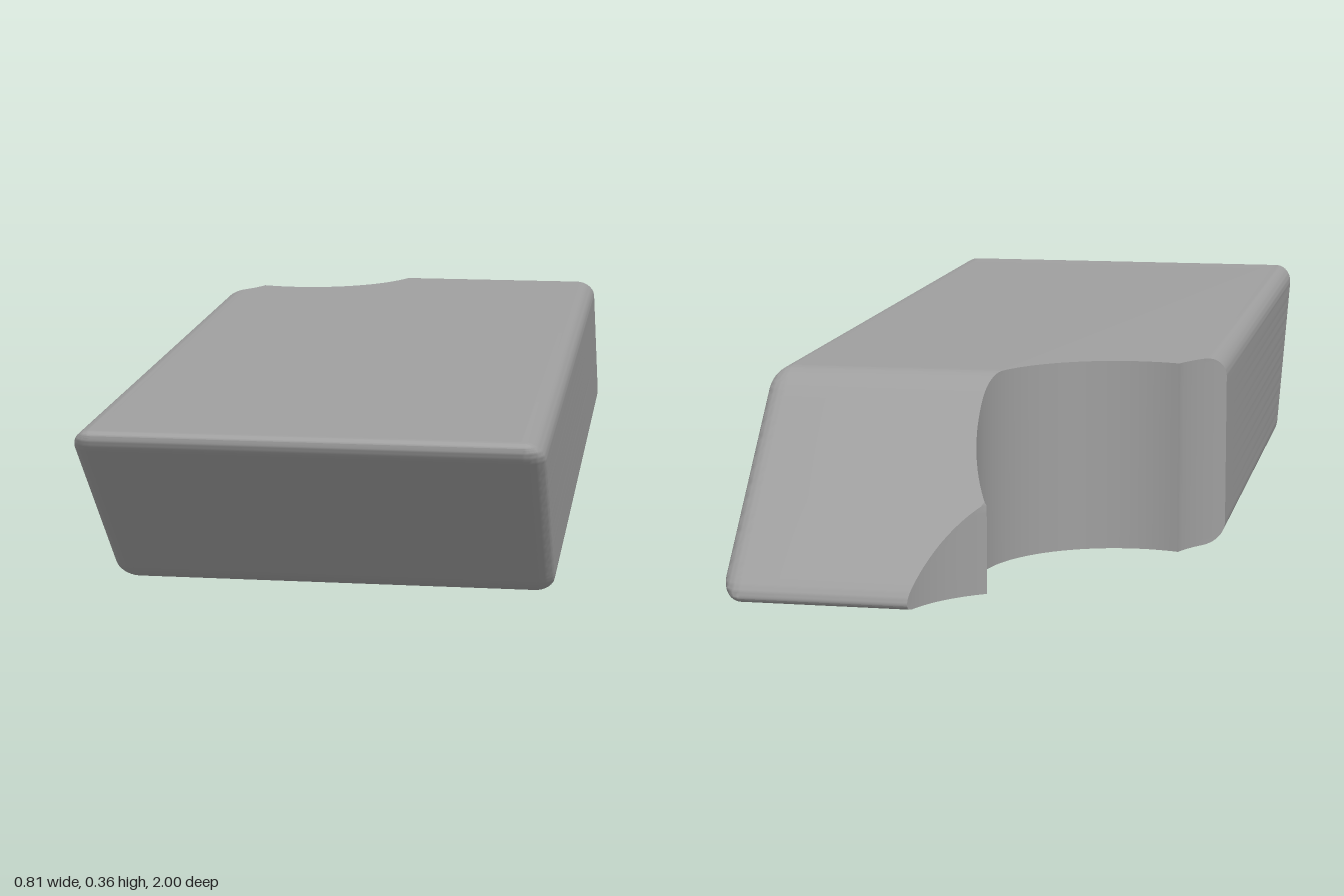
import * as THREE from 'three';
import { toCreasedNormals } from 'three/addons/utils/BufferGeometryUtils.js';

const HALF_W = 0.403, HEIGHT = 0.356, HALF_L = 0.8445, R = 0.038;
const DEG = Math.PI / 180;
const RIM = 0.004; // narrow flat strip beside each rounding, keeps the flats evenly shaded

// Points [x, z] along an arc in plan
function arc(cx, cz, r, from, to, n) {
  return Array.from({ length: n + 1 }, (_, i) => {
    const a = (from + (to - from) * i / n) * DEG;
    return [cx + r * Math.cos(a), cz + r * Math.sin(a)];
  });
}

// Quarter-round corner with a short straight piece at both ends
function corner(cx, cz, r, from) {
  const pts = arc(cx, cz, r, from, from - 90, 10);
  const s = Math.sin(from * DEG) * RIM, c = Math.cos(from * DEG) * RIM;
  const a = pts[0], b = pts[pts.length - 1];
  return [[a[0] - s, a[1] + c], ...pts, [b[0] - c, b[1] - s]];
}

// Scalloped notch outline: small arc, main arc, small arc
const notch = [
  ...arc(-0.557, -0.589, 0.25, 62, 23.6, 14),
  ...arc(-0.25, -0.73, 0.25, 108, -32, 48),
  ...arc(-0.169, -1.074, 0.25, 58.9, 6, 20),
];

// Point where segment a-b reaches a value on one axis
function crossing(a, b, axis, value) {
  const t = (value - a[axis]) / (b[axis] - a[axis]);
  return [a[0] + (b[0] - a[0]) * t, a[1] + (b[1] - a[1]) * t];
}

// Horizontal section: rounded rectangle, shifted by the slant, with the notch cut out
function section(y, inset) {
  const shift = y - HEIGHT / 2;
  const left = -HALF_W + inset, back = -HALF_L + inset + shift;
  const r = Math.max(0, R - inset), cx = HALF_W - inset - r, cz = HALF_L - inset - r;
  const first = notch.findIndex(p => p[0] > left);
  let last = first;
  while (last + 2 < notch.length && notch[last + 1][1] > back) last++;
  const start = crossing(notch[first - 1], notch[first], 0, left);
  const end = crossing(notch[last], notch[last + 1], 1, back);
  const cut = notch.map((p, i) => (i < first ? start : i > last ? end : p));
  return [
    ...corner(-cx, cz + shift, r, 180),
    ...corner(cx, cz + shift, r, 90),
    ...corner(cx, -cz + shift, r, 0),
    end, ...cut.reverse(), start,
  ];
}

// Layers: rounded bottom edge, straight side, rounded top edge
function makeLayers() {
  const layers = [], N = 12, M = 40;
  const add = (y, inset) => layers.push({ y, ring: section(y, inset) });
  add(0, R + RIM);
  for (let i = 0; i <= N; i++) {
    const a = i / N * Math.PI / 2;
    add(R * (1 - Math.cos(a)), R * (1 - Math.sin(a)));
  }
  add(R + RIM, 0);
  for (let i = 1; i < M; i++) add(R + (HEIGHT - 2 * R) * i / M, 0);
  add(HEIGHT - R - RIM, 0);
  for (let i = 0; i <= N; i++) {
    const a = i / N * Math.PI / 2;
    add(HEIGHT - R * (1 - Math.sin(a)), R * (1 - Math.cos(a)));
  }
  add(HEIGHT, R + RIM);
  return layers;
}

function makeBody() {
  const layers = makeLayers(), pos = [];
  const va = new THREE.Vector3(), vb = new THREE.Vector3();
  const tri = (a, b, c) => {
    va.subVectors(b, a);
    vb.subVectors(c, a);
    if (va.cross(vb).length() < 1e-9) return; // skip collapsed triangles
    for (const p of [a, b, c]) pos.push(p.x, p.y, p.z);
  };
  const rings = layers.map(({ y, ring }) => ring.map(([x, z]) => new THREE.Vector3(x, y, z)));

  // Sides
  for (let j = 0; j + 1 < rings.length; j++) {
    const lo = rings[j], up = rings[j + 1], n = lo.length;
    for (let i = 0; i < n; i++) {
      const k = (i + 1) % n;
      tri(lo[i], lo[k], up[k]);
      tri(lo[i], up[k], up[i]);
    }
  }

  // Flat top and bottom
  const cap = (ring, flip) => {
    const pts = ring.filter((p, i) => p.distanceTo(ring[(i + 1) % ring.length]) > 1e-6);
    const flat = pts.map(p => new THREE.Vector2(p.x, -p.z));
    for (const [a, b, c] of THREE.ShapeUtils.triangulateShape(flat, [])) {
      if (flip) tri(pts[a], pts[c], pts[b]);
      else tri(pts[a], pts[b], pts[c]);
    }
  };
  cap(rings[0], true);
  cap(rings[rings.length - 1], false);

  const geometry = new THREE.BufferGeometry();
  geometry.setAttribute('position', new THREE.Float32BufferAttribute(pos, 3));
  return toCreasedNormals(geometry, 0.55);
}

export function createModel() {
  const group = new THREE.Group();
  group.name = 'notchedSlantedBlock';
  const body = new THREE.Mesh(makeBody(), new THREE.MeshStandardMaterial({ color: 0x9f9f9f }));
  body.name = 'block';
  group.add(body);
  return group;
}
